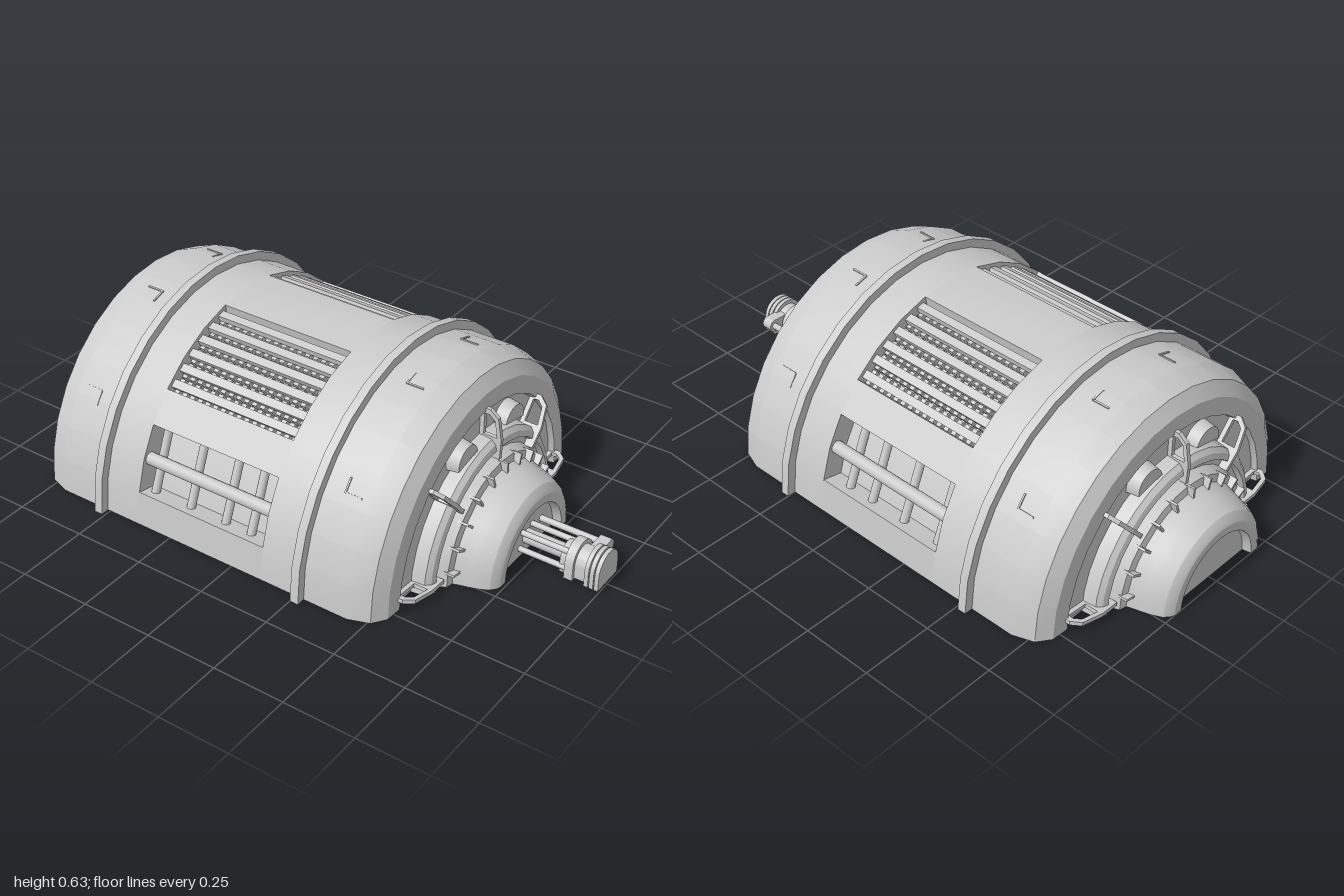
import * as THREE from 'three';
import { mergeGeometries, toCreasedNormals } from 'three/addons/utils/BufferGeometryUtils.js';

const MID = -0.13;            // centre of the housing along x
const X0 = -0.3775, X1 = 0.1175; // vent bay limits
const SEG = Math.PI / 16;     // one facet of the half round housing
const mat = new THREE.MeshStandardMaterial({ color: 0xcccccc, side: THREE.DoubleSide });

function add(parent, geo, name, x = 0, y = 0, z = 0) {
  const m = new THREE.Mesh(geo, mat);
  m.name = name;
  m.position.set(x, y, z);
  parent.add(m);
  return m;
}

// Sweeps [x, radius] points around the x axis, between two facet numbers
function sweep(points, from = 0, to = 16, creased = 0.35) {
  const pts = points.map(([x, r]) => new THREE.Vector2(r, x));
  const geo = new THREE.LatheGeometry(pts, to - from, 2 * Math.PI - to * SEG, (to - from) * SEG);
  geo.rotateZ(-Math.PI / 2);
  return toCreasedNormals(geo, creased);
}

// Moves a geometry built with y outward to an angle around the x axis (0 = front edge)
function radial(geo, angle, r, x = 0) {
  return geo.translate(x, r, 0).rotateX(Math.PI / 2 - angle);
}

const rodX = (r, len, sides = 12) => new THREE.CylinderGeometry(r, r, len, sides).rotateZ(Math.PI / 2);

function ventPocket(a, b) {
  const g = new THREE.Group();
  const xm = (X0 + X1) / 2, len = X1 - X0;
  add(g, sweep([[X0, 0.6], [X0, 0.525], [X1, 0.525], [X1, 0.6]], a, b), 'ventRecess');
  for (const s of [a, b]) {
    add(g, radial(new THREE.BoxGeometry(len, 0.075, 0.004), s * SEG, 0.5615, xm), 'ventWall');
  }
  return g;
}

// Upper vent: six slats with rows of teeth between them
function slatVent(a, b) {
  const g = ventPocket(a, b);
  g.name = 'slatVent';
  const xm = (X0 + X1) / 2, len = X1 - X0, rows = 6;
  const slats = [], teeth = [];
  const step = ((b - a) * SEG) / rows;
  for (let i = 0; i < rows; i++) {
    const ang = a * SEG + (i + 0.5) * step;
    slats.push(radial(new THREE.BoxGeometry(len, 0.02, 0.028), ang, 0.575, xm));
    for (let k = 0; k < 16; k++) {
      const x = X0 + ((k + 0.5) * len) / 16;
      teeth.push(radial(new THREE.BoxGeometry(0.018, 0.035, 0.05), ang, 0.548, x));
    }
  }
  add(g, mergeGeometries(slats), 'ventSlats');
  add(g, mergeGeometries(teeth), 'ventTeeth');
  return g;
}

// Lower vent: one long pipe across four uprights
function pipeVent(a, b) {
  const g = ventPocket(a, b);
  g.name = 'pipeVent';
  const ang = ((a + b) / 2) * SEG;
  add(g, radial(rodX(0.022, X1 - X0), ang, 0.568, (X0 + X1) / 2), 'ventPipe');
  for (const x of [-0.345, -0.2, -0.06, 0.04]) {
    const bar = new THREE.CylinderGeometry(0.015, 0.015, 0.222, 10).rotateX(Math.PI / 2);
    add(g, radial(bar, ang, 0.545, x), 'ventUpright');
  }
  return g;
}

// One end of the housing, pointing along +x from the middle
function housingEnd() {
  const g = new THREE.Group();
  add(g, sweep([
    [0.2475, 0.6], [0.57, 0.6], [0.64, 0.575], [0.672, 0.53], [0.675, 0.47],
    [0.655, 0.465], [0.655, 0.38], [0.70, 0.375], [0.715, 0.36], [0.72, 0.34],
    [0.70, 0.335], [0.70, 0.315], [0.735, 0.3], [0.74, 0.275],
  ]), 'endShell');
  add(g, sweep([
    [0.74, 0.275], [0.76, 0.268], [0.79, 0.26], [0.82, 0.25], [0.85, 0.235],
    [0.865, 0.217], [0.87, 0.205], [0.87, 0.175], [0.84, 0.17], [0.84, 0],
  ]), 'hub');
  add(g, sweep([[0.38, 0.59], [0.38, 0.63], [0.41, 0.63], [0.41, 0.59]]), 'band');

  // Five openwork brackets joining the end wall and the hub flange
  const side = new THREE.Shape([
    [0.65, 0.36], [0.7, 0.36], [0.7, 0.31], [0.73, 0.31], [0.733, 0.38],
    [0.72, 0.455], [0.69, 0.48], [0.65, 0.48],
  ].map(([x, y]) => new THREE.Vector2(x, y)));
  side.holes.push(new THREE.Path([
    [0.67, 0.385], [0.67, 0.46], [0.688, 0.462], [0.708, 0.445], [0.718, 0.385],
  ].map(([x, y]) => new THREE.Vector2(x, y))));
  for (const deg of [5, 48, 90, 132, 175]) {
    const geo = new THREE.ExtrudeGeometry(side, { depth: 0.014, bevelEnabled: false });
    add(g, radial(geo.translate(0, 0, -0.007), (deg * Math.PI) / 180, 0), 'bracket');
  }
  // Small ribs around the foot of the hub
  for (let i = 0; i < 11; i++) {
    const ang = ((10 + 16 * i) * Math.PI) / 180;
    add(g, radial(new THREE.BoxGeometry(0.04, 0.04, 0.008), ang, 0.285, 0.74), 'hubRib');
  }
  // Half round covers either side of the top bracket
  for (const s of [-1, 1]) {
    const cover = new THREE.CylinderGeometry(0.055, 0.062, 0.045, 16, 1, false, 0, Math.PI);
    cover.rotateZ(-Math.PI / 2).rotateX(-Math.PI);
    cover.computeBoundingBox();
    if (cover.boundingBox.max.y < 0.03) cover.rotateX(Math.PI);
    add(g, cover, 'roundCover', 0.675, 0.365, s * 0.138).rotation.x = s * 0.2;
  }
  // Corner marks on the shell
  for (const deg of [37, 75, 105, 143]) {
    const a = (deg * Math.PI) / 180;
    add(g, radial(new THREE.BoxGeometry(0.06, 0.006, 0.006), a, 0.598, 0.51), 'cornerMark');
    add(g, radial(new THREE.BoxGeometry(0.006, 0.006, 0.05), a + 0.04, 0.598, 0.48), 'cornerMark');
  }
  return g;
}

// Arched block along x, standing on local y = 0
function arch(halfWidth, height, len) {
  const s = new THREE.Shape();
  s.moveTo(-halfWidth, 0);
  s.lineTo(halfWidth, 0);
  s.lineTo(halfWidth, height - halfWidth);
  s.absarc(0, height - halfWidth, halfWidth, 0, Math.PI);
  s.closePath();
  const geo = new THREE.ExtrudeGeometry(s, { depth: len, bevelEnabled: false, curveSegments: 10 });
  return toCreasedNormals(geo.rotateY(Math.PI / 2), 0.5);
}

function shaft() {
  const g = new THREE.Group();
  g.name = 'shaft';
  add(g, rodX(0.026, 0.2), 'shaftCore', 0.8, 0.06, 0);
  for (const [y, z] of [[0.035, 0.042], [0.035, -0.042], [0.09, 0.03], [0.09, -0.03]]) {
    add(g, rodX(0.01, 0.18, 8), 'shaftRod', 0.79, y, z);
  }
  add(g, arch(0.045, 0.09, 0.03), 'collar', 0.855, 0.015, 0);
  add(g, arch(0.062, 0.115, 0.03), 'headFlange', 0.88, 0.01, 0);
  add(g, arch(0.05, 0.095, 0.04), 'headCore', 0.91, 0.015, 0);
  for (const x of [0.95, 0.968, 0.986]) add(g, arch(0.062, 0.115, 0.014), 'headRib', x, 0.01, 0);
  add(g, arch(0.056, 0.105, 0.048), 'headEnd', 0.95, 0.012, 0);
  // Side link
  add(g, rodX(0.011, 0.23, 8), 'sideRod', 0.82, 0.075, -0.088);
  add(g, rodX(0.024, 0.04), 'sideKnob', 0.94, 0.075, -0.085);
  add(g, new THREE.BoxGeometry(0.04, 0.045, 0.06), 'sideLink', 0.94, 0.075, -0.06);
  return g;
}

export function createModel() {
  const model = new THREE.Group();
  model.name = 'generator';

  for (const [name, turn] of [['leftEnd', 0], ['rightEnd', Math.PI]]) {
    const end = housingEnd();
    end.name = name;
    end.position.x = MID;
    end.rotation.y = turn;
    model.add(end);
  }
  // Shell strips between the vents
  for (const [a, b] of [[0, 1], [3, 4], [7, 9], [12, 13], [15, 16]]) {
    add(model, sweep([[X0, 0.6], [X1, 0.6]], a, b), 'shellStrip');
  }
  model.add(pipeVent(1, 3), slatVent(4, 7), slatVent(9, 12), pipeVent(13, 15));
  model.add(shaft());
  return model;
}
